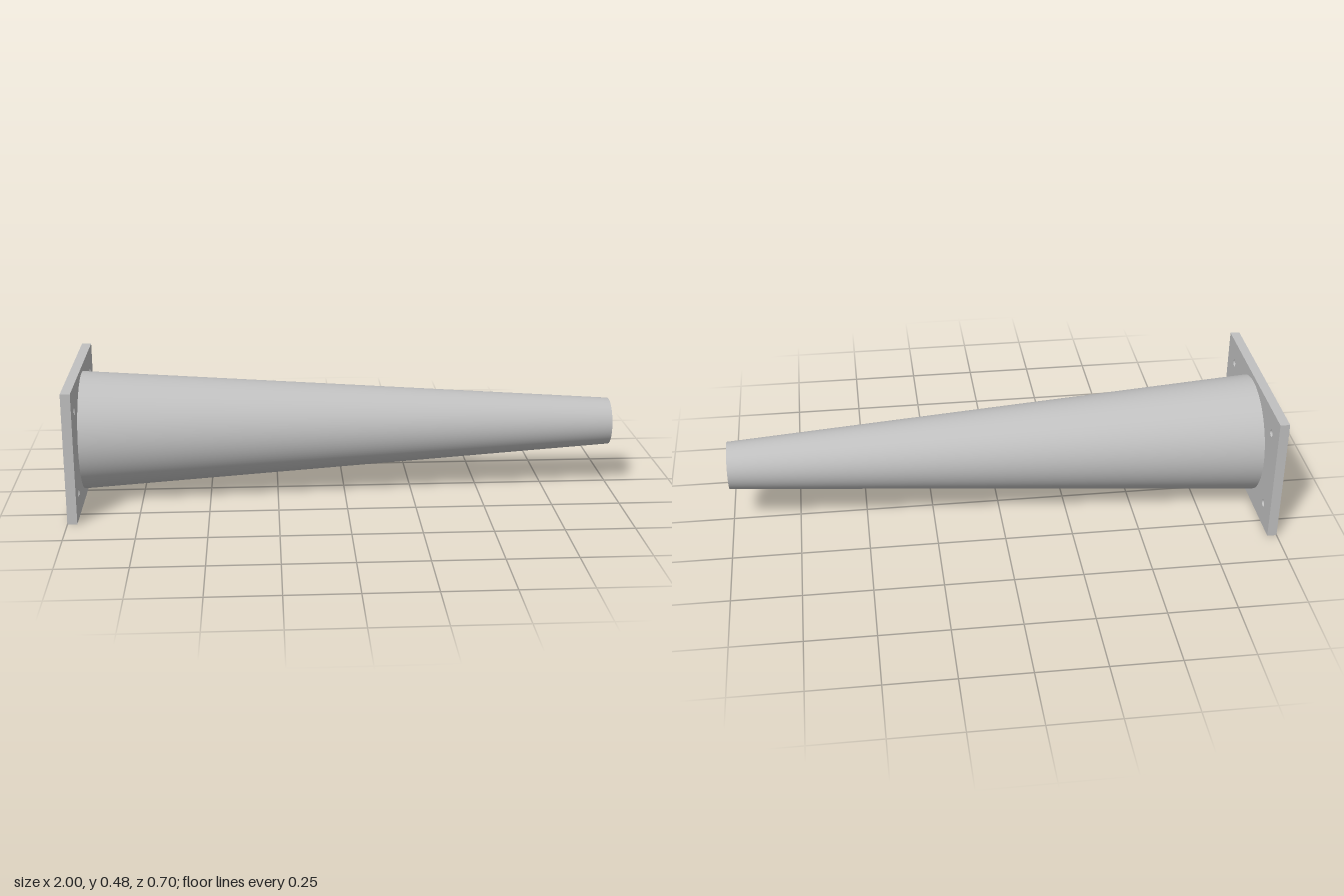
import * as THREE from 'three';

const CENTER_Y = 0.24;
const PLATE = { width: 0.70, height: 0.48, thickness: 0.035 };
const HOLE = { z: 0.262, y: 0.153, radius: 0.0135 };

export function createModel() {
  const group = new THREE.Group();
  group.name = 'taperedPost';
  const grey = new THREE.MeshStandardMaterial({ color: 0xc0c0c0 });
  grey.name = 'grey metal';

  // Mounting plate with four bolt holes
  const w = PLATE.width / 2, h = PLATE.height / 2;
  const outline = new THREE.Shape([
    new THREE.Vector2(-w, -h), new THREE.Vector2(w, -h),
    new THREE.Vector2(w, h), new THREE.Vector2(-w, h),
  ]);
  for (const sz of [-1, 1]) {
    for (const sy of [-1, 1]) {
      const hole = new THREE.Path();
      hole.absarc(sz * HOLE.z, sy * HOLE.y, HOLE.radius, 0, Math.PI * 2, true);
      outline.holes.push(hole);
    }
  }
  const plateGeometry = new THREE.ExtrudeGeometry(outline, {
    depth: PLATE.thickness, bevelEnabled: false, curveSegments: 32,
  });
  plateGeometry.rotateY(Math.PI / 2);
  const plate = new THREE.Mesh(plateGeometry, grey);
  plate.name = 'mountingPlate';
  plate.position.set(-1, CENTER_Y, 0);
  group.add(plate);

  // Solid tapered shaft running from the plate to the small end
  const length = 2 - PLATE.thickness;
  const shaftGeometry = new THREE.CylinderGeometry(0.087, 0.218, length, 96);
  shaftGeometry.rotateZ(-Math.PI / 2);
  const shaft = new THREE.Mesh(shaftGeometry, grey);
  shaft.name = 'taperedShaft';
  shaft.position.set(1 - length / 2, CENTER_Y, 0);
  group.add(shaft);

  return group;
}
